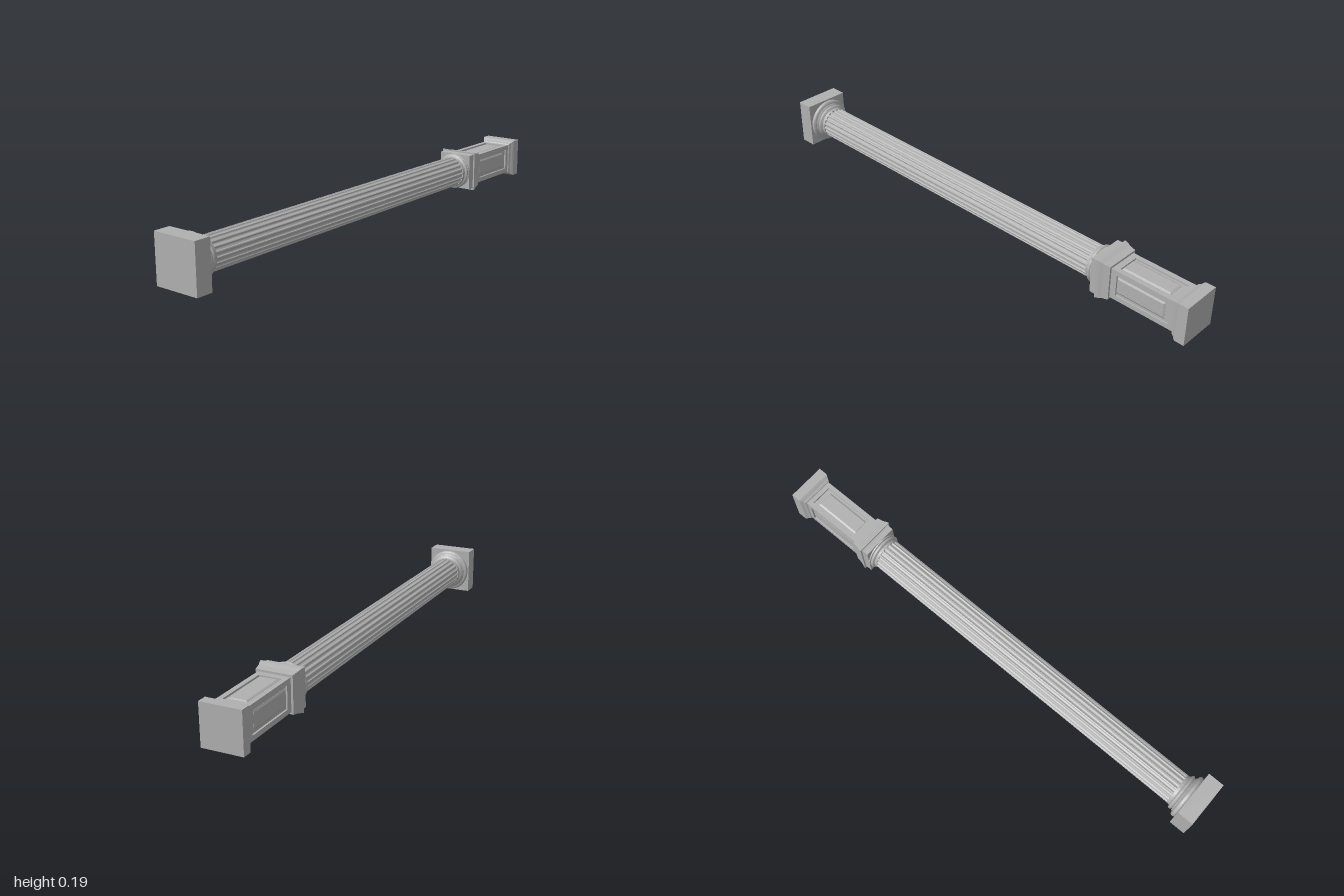
import * as THREE from 'three';
import { toCreasedNormals } from 'three/addons/utils/BufferGeometryUtils.js';

const stone = new THREE.MeshStandardMaterial({ color: 0xb0b0b0 });
stone.name = 'grey stone';

const CENTRE = 0.0925; // height of the column's axis
const vectors = (points) => points.map(([r, z]) => new THREE.Vector2(r, z));

// Square moulding: profile of [half width, z], from back to front
function squareLoft(profile) {
  const points = vectors(profile.map(([h, z]) => [h * Math.SQRT2, z]));
  const geo = new THREE.LatheGeometry(points, 4, Math.PI / 4).rotateX(Math.PI / 2).toNonIndexed();
  geo.computeVertexNormals();
  return geo;
}

// Round moulding: profile of [radius, z], from back to front
function roundLoft(profile) {
  const geo = new THREE.LatheGeometry(vectors(profile), 64).rotateX(Math.PI / 2);
  return toCreasedNormals(geo, 0.6);
}

// Half-round bead between two z values
function bead(radius, z0, z1) {
  const points = [];
  const half = (z1 - z0) / 2;
  for (let i = 0; i <= 8; i++) {
    const a = -Math.PI / 2 + (Math.PI * i) / 8;
    points.push([radius - half + half * Math.cos(a), (z0 + z1) / 2 + half * Math.sin(a)]);
  }
  return points;
}

// Shaft with concave flutes and narrow fillets between them
function flutedShaft(radius, depth, flutes, z0, z1) {
  const points = [];
  const steps = 8;
  for (let f = 0; f < flutes; f++) {
    for (let i = 0; i <= steps; i++) {
      const t = i / steps;
      const a = ((f + 0.12 + 0.76 * t) / flutes) * Math.PI * 2;
      const r = radius - depth * Math.sqrt(1 - (2 * t - 1) ** 2);
      points.push(new THREE.Vector2(r * Math.cos(a), r * Math.sin(a)));
    }
  }
  const geo = new THREE.ExtrudeGeometry(new THREE.Shape(points), { depth: z1 - z0, bevelEnabled: false });
  return toCreasedNormals(geo.translate(0, 0, z0), 0.6);
}

function rectangle(w, h, Type = THREE.Shape) {
  return new Type(vectors([[-w, -h], [w, -h], [w, h], [-w, h]]));
}

export function createModel() {
  const model = new THREE.Group();
  model.name = 'column';
  const axis = new THREE.Group();
  axis.name = 'columnParts';
  axis.position.y = CENTRE;
  model.add(axis);
  const add = (name, geo, parent = axis) => {
    const mesh = new THREE.Mesh(geo, stone);
    mesh.name = name;
    parent.add(mesh);
    return mesh;
  };

  // Foot: square plinth and stepped round mouldings
  add('plinth', squareLoft([[0, 0.935], [0.0925, 0.935], [0.0925, 1], [0, 1]]));
  add('baseMoulding', roundLoft([
    [0.06, 0.888], [0.066, 0.892], ...bead(0.075, 0.894, 0.908),
    [0.074, 0.911], [0.077, 0.915], ...bead(0.09, 0.916, 0.936),
  ]));

  // Shaft
  add('shaft', flutedShaft(0.063, 0.006, 20, -0.575, 0.89));
  add('shaftFootBand', roundLoft([[0.05, 0.88], [0.063, 0.88], [0.065, 0.895]]));

  // Round neck and square capital
  add('neckMoulding', roundLoft([
    [0.074, -0.605], [0.073, -0.592], ...bead(0.074, -0.59, -0.577),
    [0.065, -0.575], [0.063, -0.565], [0.055, -0.565],
  ]));
  add('capital', squareLoft([
    [0.06, -0.676], [0.07, -0.676], [0.074, -0.65], [0.079, -0.635], [0.081, -0.624],
    [0.075, -0.624], [0.073, -0.615], [0.073, -0.597], [0, -0.597],
  ]));

  // Panelled box: core with a frame and raised field on each of four sides
  const core = add('boxCore', new THREE.BoxGeometry(0.11, 0.11, 0.3));
  core.position.z = -0.815;
  const frameShape = rectangle(0.062, 0.146);
  frameShape.holes.push(rectangle(0.043, 0.11, THREE.Path));
  const frameGeo = new THREE.ExtrudeGeometry(frameShape, { depth: 0.008, bevelEnabled: false });
  frameGeo.rotateX(Math.PI / 2).translate(0, 0.062, -0.81);
  const fieldGeo = new THREE.ExtrudeGeometry(rectangle(0.027, 0.094), {
    depth: 0.001, bevelSize: 0.007, bevelThickness: 0.004, bevelSegments: 1,
  });
  fieldGeo.rotateX(Math.PI / 2).translate(0, 0.0555, -0.8);
  for (let i = 0; i < 4; i++) {
    const side = new THREE.Group();
    side.name = 'boxSide';
    side.rotation.z = (i * Math.PI) / 2;
    add('panelFrame', frameGeo, side);
    add('panelField', fieldGeo, side);
    axis.add(side);
  }

  // Square end block with its flare
  add('endBlock', squareLoft([
    [0, -1], [0.0785, -1], [0.0785, -0.962], [0.075, -0.956], [0.07, -0.95],
    [0.066, -0.941], [0.062, -0.938],
  ]));
  return model;
}
